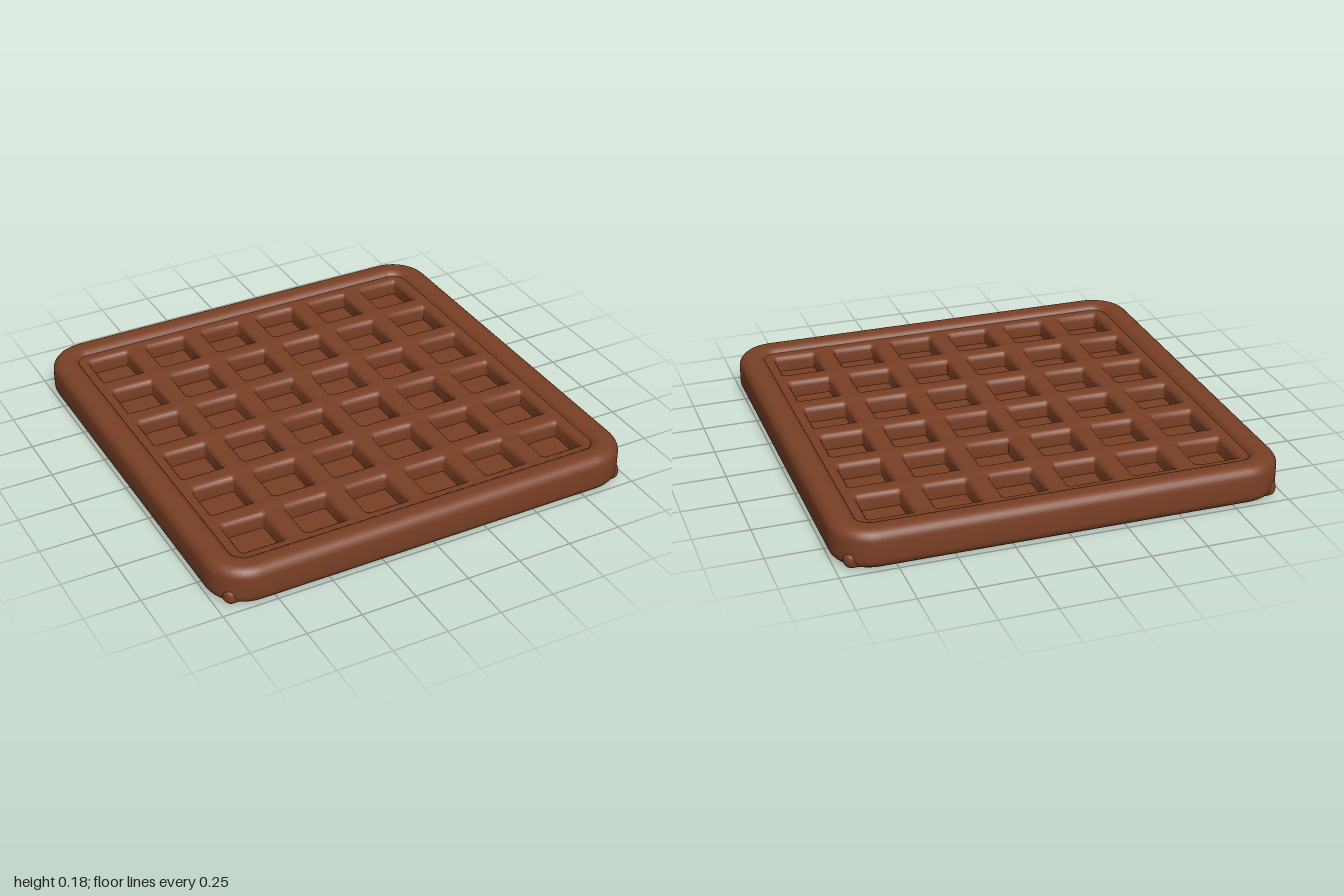
import * as THREE from 'three';
import { toCreasedNormals } from 'three/addons/utils/BufferGeometryUtils.js';
import { RoundedBoxGeometry } from 'three/addons/geometries/RoundedBoxGeometry.js';

const PITCH = 0.293; // spacing of the pockets
const COUNT = 6; // pockets per side

// Rounded square outline, centred on (cx, cy)
function roundedSquare(target, half, r, cx = 0, cy = 0) {
  const k = half - r;
  target.moveTo(cx - k, cy - half);
  target.lineTo(cx + k, cy - half);
  target.absarc(cx + k, cy - k, r, -Math.PI / 2, 0, false);
  target.lineTo(cx + half, cy + k);
  target.absarc(cx + k, cy + k, r, 0, Math.PI / 2, false);
  target.lineTo(cx - k, cy + half);
  target.absarc(cx - k, cy + k, r, Math.PI / 2, Math.PI, false);
  target.lineTo(cx - half, cy - k);
  target.absarc(cx - k, cy - k, r, Math.PI, Math.PI * 1.5, false);
  return target;
}

// Extrude upwards from y0 to y1 with rounded edges kept inside the outline
function slab(shape, y0, y1, bevel, bevelSegments, curveSegments) {
  const geo = new THREE.ExtrudeGeometry(shape, {
    depth: y1 - y0 - 2 * bevel,
    bevelEnabled: true,
    bevelThickness: bevel,
    bevelSize: bevel,
    bevelOffset: -bevel,
    bevelSegments,
    curveSegments,
  });
  geo.rotateX(-Math.PI / 2);
  geo.translate(0, y0 + bevel, 0);
  return toCreasedNormals(geo, 0.7);
}

export function createModel() {
  const model = new THREE.Group();
  model.name = 'waffle';
  const brown = new THREE.MeshStandardMaterial({ color: 0x7a4025 });
  brown.name = 'baked brown';

  const add = (name, geo) => {
    const mesh = new THREE.Mesh(geo, brown);
    mesh.name = name;
    model.add(mesh);
    return mesh;
  };

  // Base: its top is the floor of the pockets, its corners peek out under the rim
  const base = add('base', new RoundedBoxGeometry(1.93, 0.08, 1.93, 4, 0.035));
  base.position.y = 0.04;

  // Rim: rounded frame around the edge
  const rim = roundedSquare(new THREE.Shape(), 1, 0.18);
  rim.holes.push(roundedSquare(new THREE.Path(), 0.873, 0.06));
  add('rim', slab(rim, 0, 0.178, 0.05, 6, 10));

  // Grid: ribs left between the softly bevelled pockets
  const grid = roundedSquare(new THREE.Shape(), 0.93, 0.05);
  for (let i = 0; i < COUNT; i++) {
    for (let j = 0; j < COUNT; j++) {
      const x = (i - (COUNT - 1) / 2) * PITCH;
      const y = (j - (COUNT - 1) / 2) * PITCH;
      grid.holes.push(roundedSquare(new THREE.Path(), 0.096, 0.012, x, y));
    }
  }
  add('grid', slab(grid, 0.03, 0.155, 0.027, 4, 4));

  return model;
}
